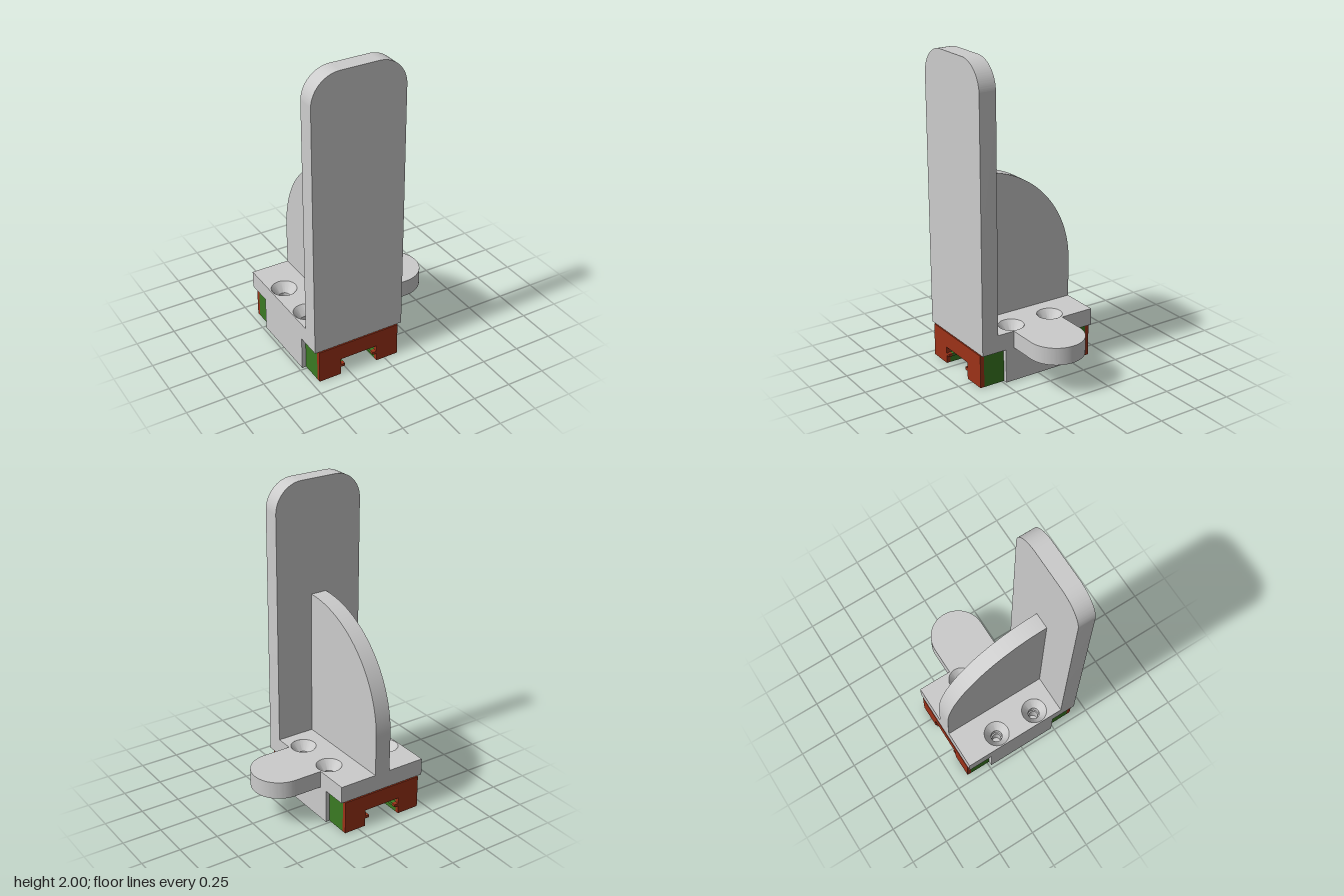
import * as THREE from 'three';
import { toCreasedNormals } from 'three/addons/utils/BufferGeometryUtils.js';

const grey = new THREE.MeshStandardMaterial({ color: 0xcccccc });
const greyThin = new THREE.MeshStandardMaterial({ color: 0xcccccc, side: THREE.DoubleSide });
const green = new THREE.MeshStandardMaterial({ color: 0x3a7a22 });
const red = new THREE.MeshStandardMaterial({ color: 0x9c3218 });

const X0 = -0.48, X1 = 0.12, MID = -0.18;
const HOLES = [-0.393, 0.035].flatMap(x => [-0.142, 0.142].map(z => [x, z]));

export function createModel() {
  const model = new THREE.Group();

  const add = (name, geometry, material = grey) => {
    const mesh = new THREE.Mesh(geometry, material);
    mesh.name = name;
    model.add(mesh);
    return mesh;
  };
  const extrude = (shape, depth) => toCreasedNormals(
    new THREE.ExtrudeGeometry(shape, { depth, bevelEnabled: false, curveSegments: 32 }), 0.5);
  // Plan outline (x, -z) raised from y0 to y1
  const slab = (shape, y0, y1) => extrude(shape, y1 - y0).rotateX(-Math.PI / 2).translate(0, y0, 0);
  const punch = (shape, radius) => {
    for (const [x, z] of HOLES) {
      shape.holes.push(new THREE.Path().absarc(x, -z, radius, 0, Math.PI * 2, true));
    }
    return shape;
  };
  const polygon = pts => new THREE.Shape(pts.map(([x, y]) => new THREE.Vector2(x, y)));

  // Base plate with rounded side tab
  const plate = new THREE.Shape();
  plate.moveTo(X0, -0.29);
  plate.lineTo(X1, -0.29);
  plate.lineTo(X1, -0.178);
  plate.lineTo(0.302, -0.178);
  plate.absarc(0.302, 0, 0.178, -Math.PI / 2, Math.PI / 2, false);
  plate.lineTo(X1, 0.178);
  plate.lineTo(X1, 0.4);
  plate.lineTo(X0, 0.4);
  add('basePlate', slab(punch(plate, 0.08), 0.22, 0.33));

  // Countersunk funnels lining the plate holes
  const funnel = [[0.08, 0.33], [0.036, 0.27], [0.036, 0.22]].map(p => new THREE.Vector2(...p));
  for (const [x, z] of HOLES) {
    add('countersink', toCreasedNormals(new THREE.LatheGeometry(funnel, 48), 0.5), greyThin)
      .position.set(x, 0, z);
  }

  // Upright plate with rounded top corners
  const r = 0.18, wall = new THREE.Shape();
  wall.moveTo(X0, 0.22);
  wall.lineTo(X1, 0.22);
  wall.lineTo(X1, 2 - r);
  wall.absarc(X1 - r, 2 - r, r, 0, Math.PI / 2, false);
  wall.lineTo(X0 + r, 2);
  wall.absarc(X0 + r, 2 - r, r, Math.PI / 2, Math.PI, false);
  add('uprightPlate', extrude(wall, 0.11).translate(0, 0, 0.29));

  // Quarter-round rib, drawn in (z, y)
  const rib = new THREE.Shape();
  rib.moveTo(-0.4, 0.33);
  rib.lineTo(0.29, 0.33);
  rib.lineTo(0.29, 1.27);
  rib.absarc(0.29, 0.58, 0.69, Math.PI / 2, Math.PI, false);
  add('rib', extrude(rib, 0.105).rotateY(-Math.PI / 2).translate(-0.126, 0, 0));

  // Pin under the tab
  const pin = [[0, 0.152], [0.04, 0.152], [0.05, 0.2], [0.05, 0.22]].map(p => new THREE.Vector2(...p));
  add('tabPin', toCreasedNormals(new THREE.LatheGeometry(pin, 40), 0.5)).position.x = 0.302;

  // Carriage section with a lipped rail channel; half-profile mirrored about MID
  const section = (halfWidth, top) => {
    const half = [[0.125, 0.11], [0.125, 0.07], [0.098, 0.07], [0.098, 0.052],
      [0.125, 0.052], [0.125, 0], [halfWidth, 0], [halfWidth, top]];
    return polygon([
      ...half.map(([x, y]) => [MID + x, y]),
      ...half.reverse().map(([x, y]) => [MID - x, y]),
    ]);
  };
  add('carriageBody', extrude(section(0.3, 0.13), 0.47).translate(0, 0, -0.235));
  const deck = polygon([[X0, -0.235], [X1, -0.235], [X1, 0.235], [X0, 0.235]]);
  add('carriageDeck', slab(punch(deck, 0.028), 0.13, 0.22));

  // End caps and wiper seals at both ends
  for (const s of [1, -1]) {
    add('endCap', extrude(section(0.273, 0.214), 0.14).translate(0, 0, s * 0.305 - 0.07), green);
    add('wiperSeal', extrude(section(0.273, 0.214), 0.027).translate(0, 0, s * 0.3885 - 0.0135), red);
  }

  return model;
}
